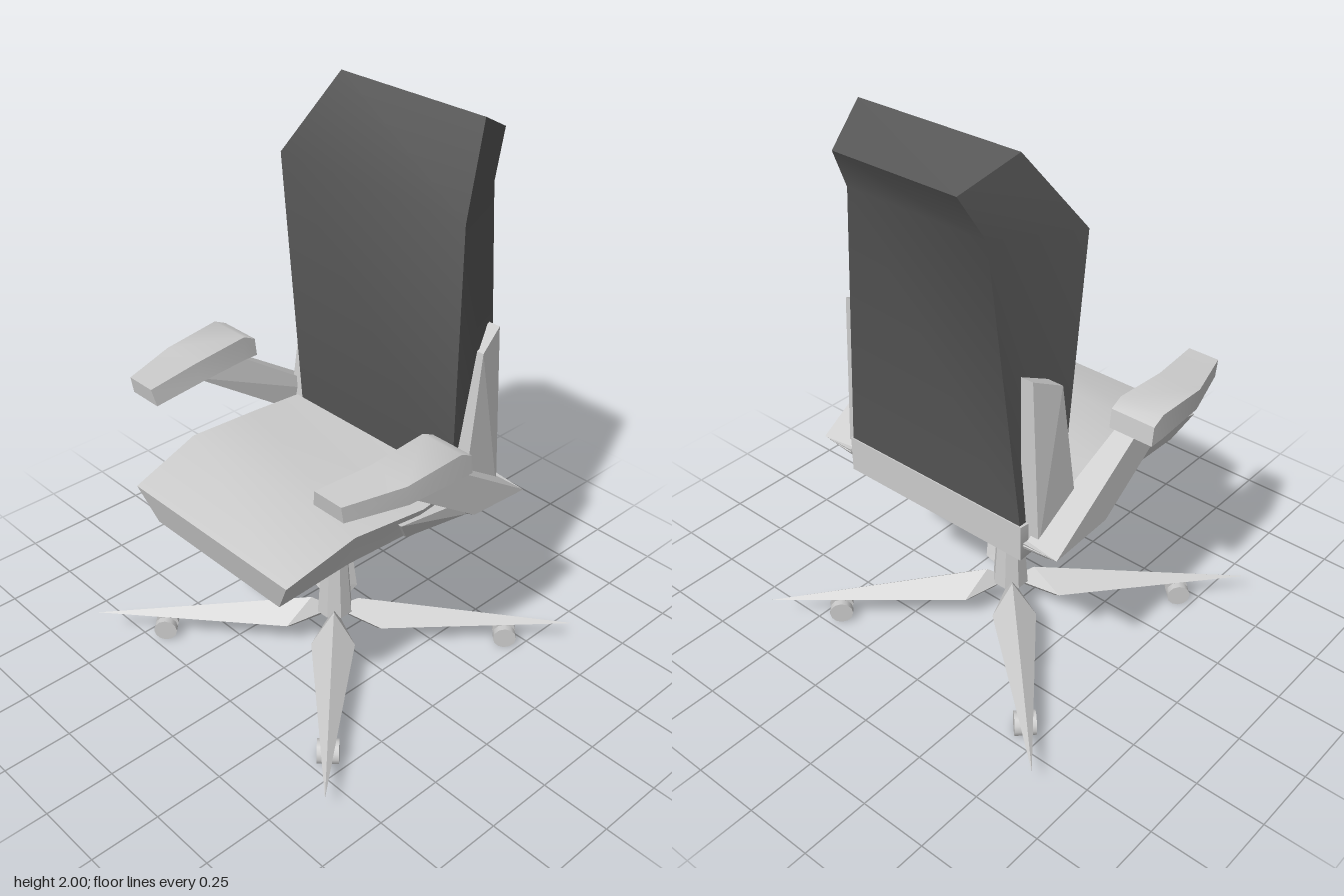
import * as THREE from 'three';
import { toCreasedNormals } from 'three/addons/utils/BufferGeometryUtils.js';
import { ConvexGeometry } from 'three/addons/geometries/ConvexGeometry.js';

const grey = new THREE.MeshStandardMaterial({ color: 0xcccccc });
const dark = new THREE.MeshStandardMaterial({ color: 0x555555 });

function add(parent, name, geometry, material = grey) {
  const mesh = new THREE.Mesh(geometry, material);
  mesh.name = name;
  parent.add(mesh);
  return mesh;
}

// Convex block through corner points, mirrored to either side
const block = (points, side = 1) =>
  new ConvexGeometry(points.map(([x, y, z]) => new THREE.Vector3(x * side, y, z)));

// Capped skin through four-cornered sections, soft across gentle bends
function loft(sections) {
  const n = sections.length;
  const index = [];
  const quad = (a, b, c, d) => index.push(a, b, c, a, c, d);
  for (let i = 0; i < n - 1; i++) {
    for (let j = 0; j < 4; j++) {
      const k = (j + 1) % 4;
      quad(i * 4 + j, i * 4 + k, i * 4 + 4 + k, i * 4 + 4 + j);
    }
  }
  quad(3, 2, 1, 0);
  const e = (n - 1) * 4;
  quad(e, e + 1, e + 2, e + 3);

  // Turn the faces outward whichever way the sections run
  const v = sections.flat().map((p) => new THREE.Vector3(...p));
  let volume = 0;
  for (let i = 0; i < index.length; i += 3) {
    volume += v[index[i]].dot(v[index[i + 1]].clone().cross(v[index[i + 2]]));
  }
  if (volume < 0) index.reverse();

  const g = new THREE.BufferGeometry().setFromPoints(v);
  g.setIndex(index);
  return toCreasedNormals(g, 0.68);
}

// Symmetric section from two edges, each [half width, y, z]
const pair = ([w1, y1, z1], [w2, y2, z2]) =>
  [[w1, y1, z1], [-w1, y1, z1], [-w2, y2, z2], [w2, y2, z2]];

function createLeg() {
  const leg = new THREE.Group();
  leg.name = 'baseLeg';
  // Kite-shaped spoke along +x with a ridge on top
  add(leg, 'spoke', block([
    [0, 0.14, 0], [0.085, 0.185, 0], [0.17, 0.11, 0.078], [0.17, 0.11, -0.078],
    [0.06, 0.1, 0], [0.16, 0.088, 0.05], [0.16, 0.088, -0.05], [0.873, 0.09, 0],
  ]));
  // Twin-wheel caster
  for (const s of [-1, 1]) {
    const wheel = add(leg, 'casterWheel', new THREE.CylinderGeometry(0.042, 0.042, 0.026, 12));
    wheel.rotation.x = Math.PI / 2;
    wheel.position.set(0.622, 0.042, s * 0.024);
  }
  const axle = add(leg, 'casterAxle', new THREE.CylinderGeometry(0.018, 0.018, 0.04, 8));
  axle.rotation.x = Math.PI / 2;
  axle.position.set(0.622, 0.045, 0);
  add(leg, 'casterStem', new THREE.BoxGeometry(0.03, 0.05, 0.018)).position.set(0.622, 0.075, 0);
  return leg;
}

function createArm(side) {
  const arm = new THREE.Group();
  arm.name = side > 0 ? 'leftArm' : 'rightArm';

  // Pad sections: z, inner x, outer x, top y, z of lower edge, lower inner x
  const pad = [
    [-0.017, 0.43, 0.593, 1.077, -0.025, 0.43],
    [0.03, 0.43, 0.593, 1.1, 0.03, 0.43],
    [0.25, 0.425, 0.58, 1.08, 0.24, 0.41],
    [0.455, 0.4, 0.515, 1.07, 0.445, 0.385],
  ];
  add(arm, 'armPad', loft(pad.map(([z, xi, xo, y, zb, xb]) =>
    [[xi, y, z], [xo, y, z], [xo, 1.01, zb], [xb, 1.01, zb]].map(([x, h, d]) => [x * side, h, d]))));

  // Slanted strut from the pad to the back corner
  add(arm, 'armStrut', block([
    [0.44, 1.02, 0.25], [0.51, 1.02, 0.25], [0.44, 1.02, 0.04], [0.51, 1.02, 0.04],
    [0.515, 0.755, -0.14], [0.41, 0.755, -0.14], [0.515, 0.74, -0.385], [0.385, 0.735, -0.39],
  ], side));

  // Wedge under the strut, joining it to the seat
  add(arm, 'armBracket', block([
    [0.515, 0.756, -0.14], [0.41, 0.756, -0.14], [0.51, 0.74, -0.385], [0.385, 0.745, -0.39],
    [0.43, 0.685, -0.2], [0.36, 0.685, -0.2], [0.37, 0.71, -0.375], [0.46, 0.715, -0.37],
  ], side));

  // Thin rail let into the side of the seat
  add(arm, 'seatRail', block([
    [0.418, 0.775, 0.1], [0.36, 0.775, 0.1], [0.375, 0.675, 0.03], [0.34, 0.675, 0.03],
    [0.435, 0.75, -0.18], [0.43, 0.685, -0.2], [0.36, 0.75, -0.2], [0.36, 0.685, -0.2],
  ], side));

  // Upright that grips the side of the backrest
  add(arm, 'backSupport', block([
    [0.418, 1.27, -0.25], [0.36, 1.27, -0.25], [0.39, 1.32, -0.355], [0.345, 1.32, -0.355],
    [0.43, 0.73, -0.175], [0.36, 0.73, -0.175], [0.42, 0.72, -0.357], [0.35, 0.72, -0.357],
  ], side));
  return arm;
}

export function createModel() {
  const chair = new THREE.Group();
  chair.name = 'officeChair';

  // Backrest, front edge and rear edge of each section
  add(chair, 'backrest', loft([
    pair([0.37, 0.78, -0.185], [0.37, 0.78, -0.385]),
    pair([0.412, 1.74, -0.14], [0.275, 1.76, -0.42]),
    pair([0.312, 2, -0.32], [0.24, 1.91, -0.5]),
  ]), dark);

  // Seat, top edge and bottom edge of each section
  add(chair, 'seat', loft([
    pair([0.38, 0.745, 0.555], [0.31, 0.62, 0.525]),
    pair([0.405, 0.82, 0.29], [0.345, 0.67, 0.26]),
    pair([0.42, 0.795, 0], [0.36, 0.67, 0]),
    pair([0.375, 0.8, -0.39], [0.375, 0.67, -0.39]),
  ]));

  for (const side of [-1, 1]) chair.add(createArm(side));

  // Inverted pyramid below the seat
  const plate = new THREE.CylinderGeometry(0.26 * Math.SQRT2, 0.033 * Math.SQRT2, 0.127, 4)
    .rotateY(Math.PI / 4).toNonIndexed();
  plate.computeVertexNormals();
  add(chair, 'seatPlate', plate).position.y = 0.6085;

  // Tapered column
  const column = new THREE.CylinderGeometry(0.036, 0.066, 0.41, 8)
    .rotateY(Math.PI / 8).toNonIndexed();
  column.computeVertexNormals();
  add(chair, 'column', column).position.y = 0.345;

  // Four-legged base on the diagonals
  for (let i = 0; i < 4; i++) {
    const leg = createLeg();
    leg.rotation.y = Math.PI / 4 + i * Math.PI / 2;
    chair.add(leg);
  }
  return chair;
}
